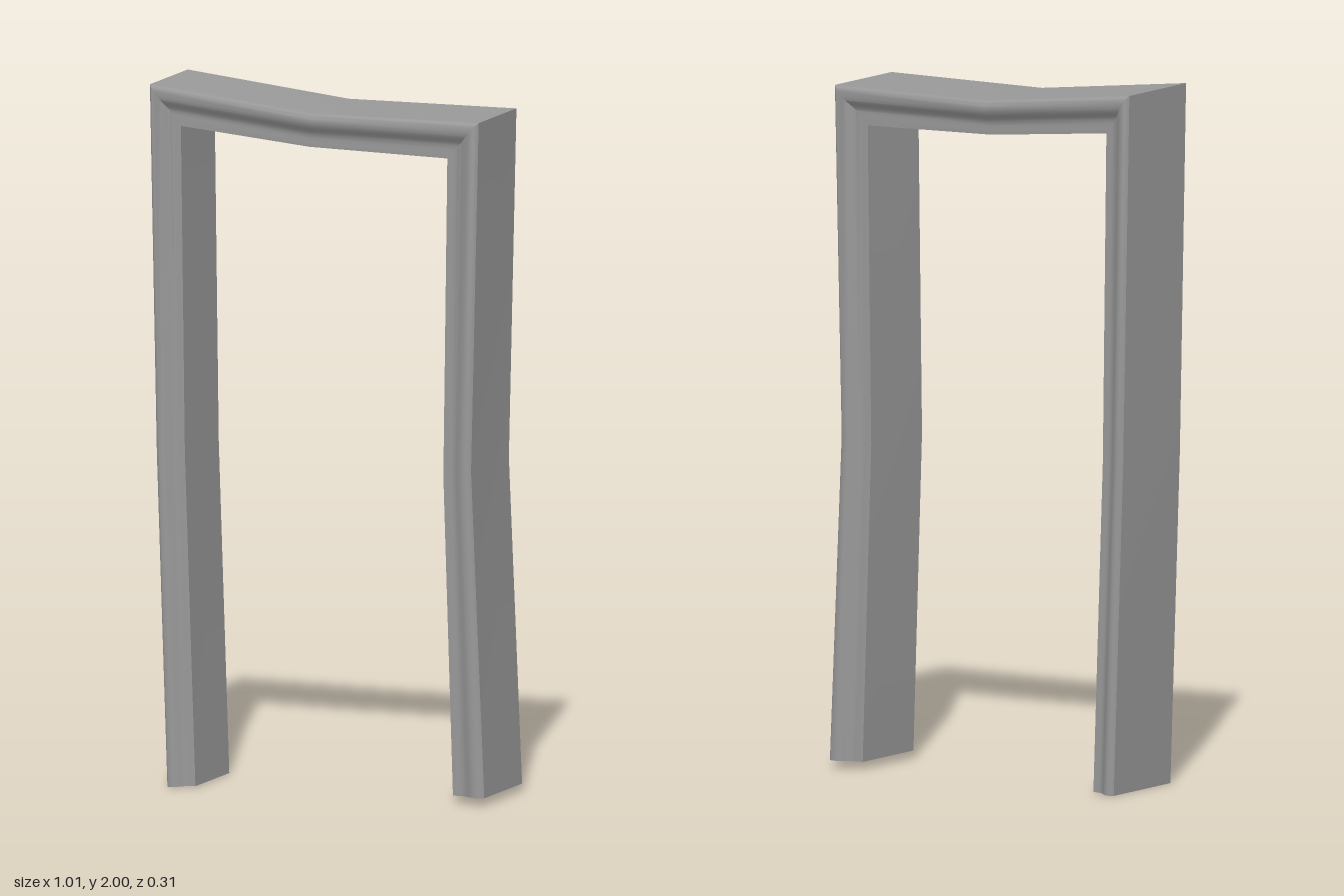
import * as THREE from 'three';
import { toCreasedNormals } from 'three/addons/utils/BufferGeometryUtils.js';

// Stations along the frame, from the foot at -x over the lintel to the foot at +x:
// [outer x, outer y, inner x, inner y]
const STATIONS = [
  [-0.455, 0.0, -0.376, 0.003],
  [-0.487, 0.95, -0.408, 0.95],
  [-0.508, 2.0, -0.42, 1.884],
  [-0.02, 1.945, -0.03, 1.847],
  [0.489, 1.947, 0.388, 1.838],
  [0.466, 0.95, 0.376, 0.93],
  [0.506, 0.022, 0.405, 0.022],
];

// Moulding on the front edge: [fraction from outer to inner, z]
const MOULDING = [
  [0, 0.144], [0.07, 0.151], [0.15, 0.154], [0.27, 0.153], [0.37, 0.149],
  [0.46, 0.143], [0.55, 0.136], [0.64, 0.131], [0.74, 0.129], [0.86, 0.13], [1, 0.129],
];

// Sweeps a closed profile through the stations, leaving the feet open
function sweep(stations, profile) {
  const positions = [];
  const indices = [];
  const n = profile.length;
  stations.forEach(([ox, oy, ix, iy], k) => {
    for (const [t, z] of profile) {
      positions.push(ox + (ix - ox) * t, oy + (iy - oy) * t, z);
    }
    if (k === 0) return;
    for (let j = 0; j < n; j++) {
      const a = (k - 1) * n + j;
      const b = (k - 1) * n + ((j + 1) % n);
      indices.push(a, b, b + n, a, b + n, a + n);
    }
  });
  const geometry = new THREE.BufferGeometry();
  geometry.setAttribute('position', new THREE.Float32BufferAttribute(positions, 3));
  geometry.setIndex(indices);
  return toCreasedNormals(geometry, 0.6);
}

export function createModel() {
  const group = new THREE.Group();
  group.name = 'doorway';

  // The back edge mirrors the front moulding
  const back = MOULDING.map(([t, z]) => [t, -z]).reverse();
  const material = new THREE.MeshStandardMaterial({ color: 0x999999, side: THREE.DoubleSide });
  const frame = new THREE.Mesh(sweep(STATIONS, [...MOULDING, ...back]), material);
  frame.name = 'doorFrame';
  group.add(frame);
  return group;
}
